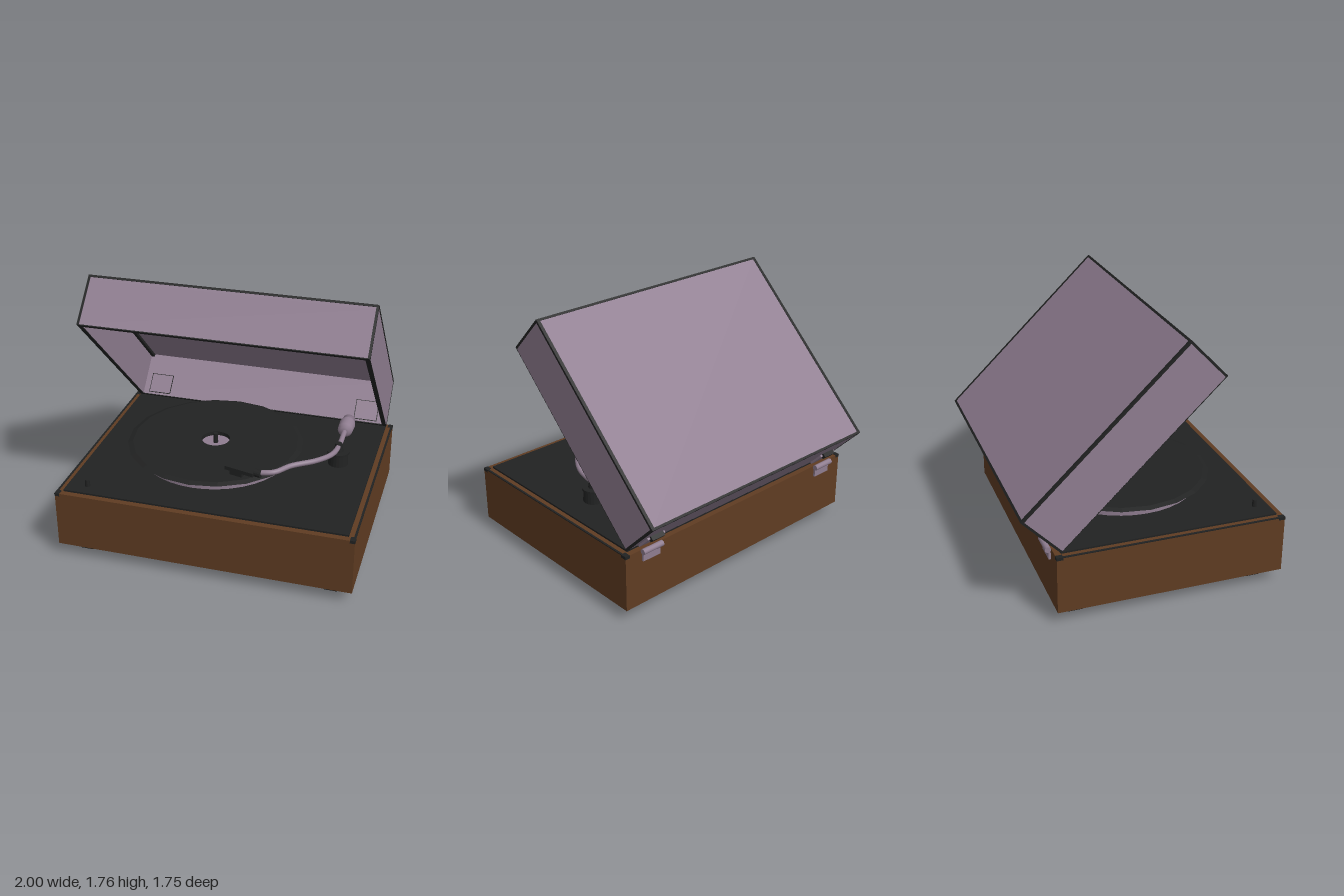
import * as THREE from 'three';

const mat = (name, color, flat = false) => {
  const m = new THREE.MeshStandardMaterial({ color, flatShading: flat });
  m.name = name;
  return m;
};

export function createModel() {
  const model = new THREE.Group();
  model.name = 'recordPlayer';
  const wood = mat('brownWood', 0x5f3c22);
  const black = mat('black', 0x212222, true);
  const mauve = mat('mauve', 0x8f7d90);

  const add = (parent, name, geo, material, x = 0, y = 0, z = 0) => {
    const m = new THREE.Mesh(geo, material);
    m.name = name;
    m.position.set(x, y, z);
    parent.add(m);
    return m;
  };
  const box = (parent, name, material, w, h, d, x, y, z) =>
    add(parent, name, new THREE.BoxGeometry(w, h, d), material, x, y, z);
  const cyl = (parent, name, material, rt, rb, h, x, y, z, n = 20) =>
    add(parent, name, new THREE.CylinderGeometry(rt, rb, h, n), material, x, y, z);

  // Wooden case with black deck
  box(model, 'case', wood, 2, 0.395, 1.54, 0, 0.2825, 0.1);
  box(model, 'deck', black, 1.91, 0.018, 1.46, 0, 0.483, 0.1);
  for (const sx of [-1, 1]) {
    box(model, 'caseTopEdge', black, 0.014, 0.006, 1.542, sx * 0.994, 0.479, 0.1);
    for (const z of [0.85, -0.65]) {
      box(model, 'caseCorner', black, 0.034, 0.02, 0.044, sx * 0.985, 0.472, z);
    }
  }

  // Tapered square feet
  for (const x of [-0.845, 0.845]) {
    for (const z of [0.72, -0.52]) {
      const foot = cyl(model, 'foot', black, 0.108, 0.058, 0.087, x, 0.0435, z, 4);
      foot.geometry.rotateY(Math.PI / 4);
      foot.scale.z = 1.12;
    }
  }

  // Platter, record and spindle
  const px = -0.145, pz = 0.035;
  cyl(model, 'platter', mauve, 0.54, 0.54, 0.054, px, 0.519, pz, 40);
  const record = [[0.1, 0.546], [0.58, 0.548], [0.615, 0.56], [0.58, 0.572], [0.1, 0.574], [0.1, 0.546]]
    .map(([r, y]) => new THREE.Vector2(r, y));
  add(model, 'record', new THREE.LatheGeometry(record, 20), black, px, 0, pz);
  cyl(model, 'spindle', black, 0.017, 0.017, 0.075, px, 0.58, pz, 12);

  // Power button
  cyl(model, 'button', black, 0.015, 0.018, 0.05, -0.82, 0.515, 0.74, 12);

  // Tonearm pivot
  const ax = 0.72, az = -0.01;
  cyl(model, 'pivotBase', black, 0.065, 0.07, 0.085, ax, 0.53, az);
  cyl(model, 'pivotDisc', black, 0.075, 0.075, 0.014, ax, 0.582, az);
  cyl(model, 'pivotPost', black, 0.024, 0.034, 0.06, ax, 0.617, az, 14);

  // Curved tonearm
  const path = new THREE.CatmullRomCurve3([
    [ax, 0.627, -0.24], [ax, 0.625, 0], [0.70, 0.642, 0.15], [0.62, 0.656, 0.28],
    [0.48, 0.663, 0.4], [0.39, 0.66, 0.505], [0.27, 0.65, 0.525],
  ].map(p => new THREE.Vector3(...p)));
  add(model, 'tonearm', new THREE.TubeGeometry(path, 40, 0.018, 10), mauve);

  // Counterweight
  const weight = [[0, 0], [0.034, 0], [0.052, 0.025], [0.055, 0.12], [0.045, 0.125], [0.045, 0.18], [0, 0.18]]
    .map(([r, y]) => new THREE.Vector2(r, y));
  add(model, 'counterweight', new THREE.LatheGeometry(weight, 20), mauve, ax, 0.629, -0.21).rotation.x = -Math.PI / 2;

  // Headshell with cartridge
  const head = new THREE.Group();
  head.name = 'headshell';
  head.position.set(0.17, 0.642, 0.497);
  head.rotation.y = -0.24;
  model.add(head);
  box(head, 'headshellPlate', black, 0.21, 0.026, 0.07, 0, 0, 0);
  box(head, 'cartridge', black, 0.09, 0.04, 0.045, -0.03, -0.028, 0);
  cyl(head, 'headshellCollar', black, 0.026, 0.026, 0.045, 0.125, 0.006, 0, 14).rotation.z = Math.PI / 2;

  // Open lid, tilted back on its rear lower edge
  const lid = new THREE.Group();
  lid.name = 'lid';
  lid.position.set(0, 0.49, -0.63);
  lid.rotation.x = -0.767;
  model.add(lid);
  const W = 0.958, H = 0.35, L = 1.47, t = 0.03;
  box(lid, 'lidTop', mauve, 2 * W, t, L, 0, H - t / 2, L / 2);
  for (const z of [t / 2, L - t / 2]) box(lid, 'lidEndWall', mauve, 2 * W, H - t, t, 0, (H - t) / 2, z);
  for (const sx of [-1, 1]) {
    box(lid, 'lidSideWall', mauve, t, H - t, L - 2 * t, sx * (W - t / 2), (H - t) / 2, L / 2);
  }

  // Black trim along the rim and the edges of the lid
  const e = 0.016;
  for (const z of [t / 2, L - t / 2]) box(lid, 'lidRim', black, 2 * W, 0.006, t, 0, -0.001, z);
  for (const z of [e / 2, L - e / 2]) {
    const zo = z + (z < 0.1 ? -0.002 : 0.002);
    box(lid, 'lidTopTrim', black, 2 * W, e, e, 0, H - e / 2 + 0.002, zo);
    for (const sx of [-1, 1]) {
      box(lid, 'lidCornerTrim', black, e, H, e, sx * (W - e / 2 + 0.002), H / 2, zo);
    }
  }
  for (const sx of [-1, 1]) {
    box(lid, 'lidRim', black, t, 0.006, L, sx * (W - t / 2), -0.001, L / 2);
    box(lid, 'lidSideTrim', black, e + 0.006, e, L, sx * (W - e / 2 - 0.001), H - e / 2 + 0.002, L / 2);
    box(lid, 'lidInnerTrim', black, 0.026, 0.02, L - 2 * t, sx * (W - t - 0.012), H - t - 0.009, L / 2);
  }

  // Two metal hinges at the back
  for (const x of [-0.8, 0.8]) {
    box(model, 'hingeLowerLeaf', mauve, 0.14, 0.07, 0.014, x, 0.435, -0.677);
    cyl(model, 'hingeBarrel', mauve, 0.02, 0.02, 0.16, x, 0.475, -0.69, 12).rotation.z = Math.PI / 2;
    box(lid, 'hingeUpperLeaf', mauve, 0.14, 0.12, 0.014, x, 0.07, -0.007);
    box(lid, 'hingeStop', black, 0.1, 0.03, 0.03, x, 0.13, -0.015);
    box(lid, 'hingeInnerBorder', black, 0.17, 0.15, 0.004, x, 0.09, t + 0.001);
    box(lid, 'hingeInnerPlate', mauve, 0.16, 0.14, 0.006, x, 0.09, t + 0.002);
  }
  return model;
}
